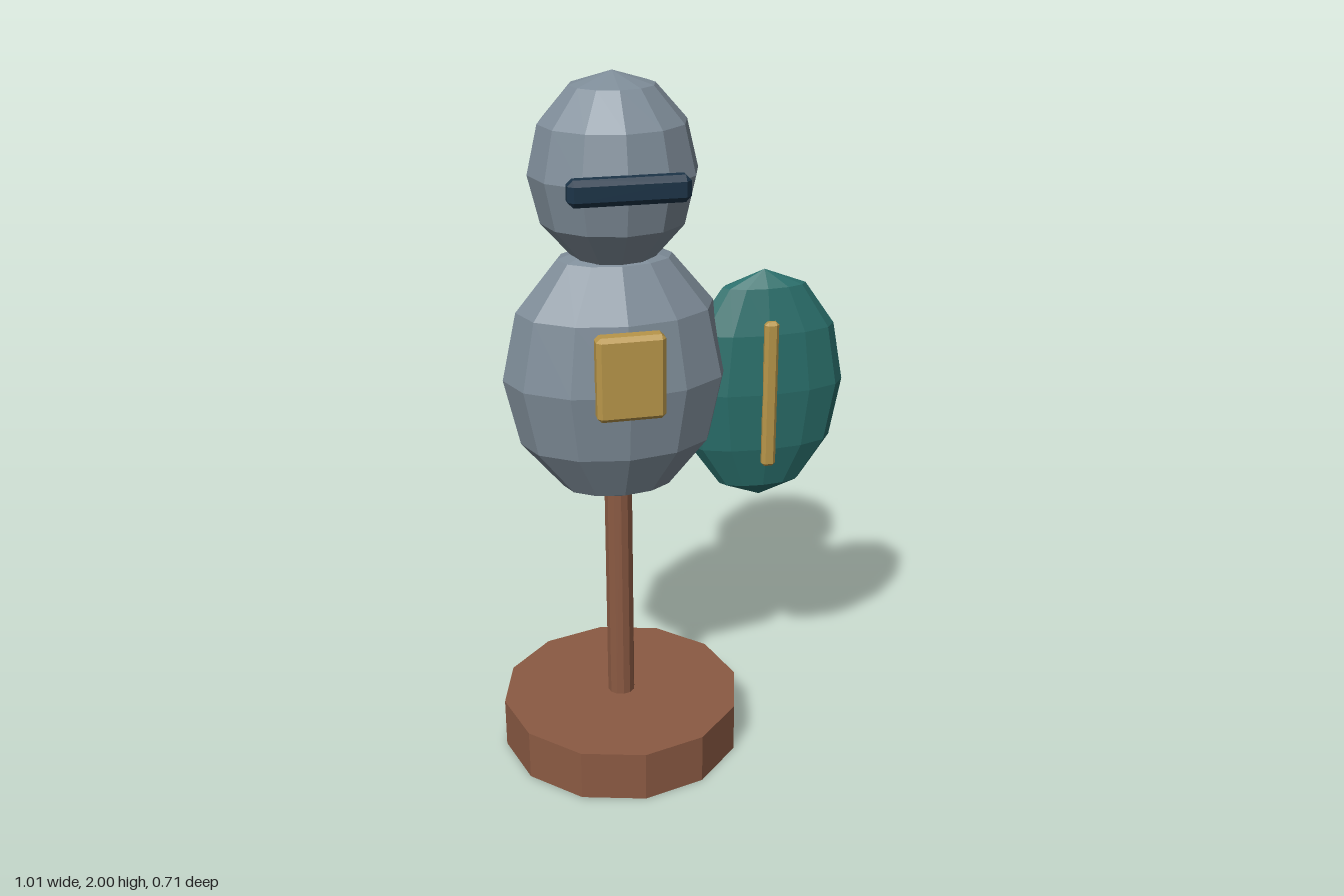
import * as THREE from 'three';
import { ConvexGeometry } from 'three/addons/geometries/ConvexGeometry.js';

const material = (name, color) => {
  const m = new THREE.MeshStandardMaterial({ color, flatShading: true });
  m.name = name;
  return m;
};

// Box with every edge cut at 45 degrees
function chamferedBox(w, h, d, c) {
  const points = [];
  for (const sx of [-1, 1]) for (const sy of [-1, 1]) for (const sz of [-1, 1]) {
    for (let full = 0; full < 3; full++) {
      const cut = [c, c, c];
      cut[full] = 0;
      points.push(new THREE.Vector3(
        sx * (w / 2 - cut[0]), sy * (h / 2 - cut[1]), sz * (d / 2 - cut[2])));
    }
  }
  return new ConvexGeometry(points);
}

// Low-poly ellipsoid with 12 sides and 6 rows
const ellipsoid = (rx, ry, rz) => new THREE.SphereGeometry(1, 12, 6).scale(rx, ry, rz);

export function createModel() {
  const group = new THREE.Group();
  group.name = 'trainingDummy';

  const wood = material('wood', 0x8b5a43);
  const steel = material('steel', 0x7f8d99);
  const teal = material('teal', 0x2a6f6b);
  const gold = material('gold', 0xb8964a);
  const navy = material('navy', 0x1c3448);

  const add = (name, geometry, mat, x, y, z = 0) => {
    const mesh = new THREE.Mesh(geometry, mat);
    mesh.name = name;
    mesh.position.set(x, y, z);
    group.add(mesh);
  };

  const cx = -0.153; // axis of the stand and figure
  const sx = 0.266;  // axis of the shield

  // Stand
  add('base', new THREE.CylinderGeometry(0.355, 0.355, 0.15, 12), wood, cx, 0.075);
  add('post', new THREE.CylinderGeometry(0.04, 0.04, 0.75, 12), wood, cx, 0.525);

  // Figure
  add('body', ellipsoid(0.315, 0.383, 0.207), steel, cx, 1.178);
  add('head', ellipsoid(0.228, 0.26, 0.206), steel, cx, 1.74);
  add('visor', chamferedBox(0.315, 0.07, 0.054, 0.015), navy, cx, 1.738, 0.207);
  add('chestPlate', chamferedBox(0.186, 0.236, 0.055, 0.012), gold, cx, 1.238, 0.199);

  // Shield on the left side
  add('shield', ellipsoid(0.239, 0.343, 0.083), teal, sx, 1.102);
  add('shieldStrip', chamferedBox(0.04, 0.432, 0.028, 0.009), gold, sx, 1.103, 0.082);

  return group;
}
